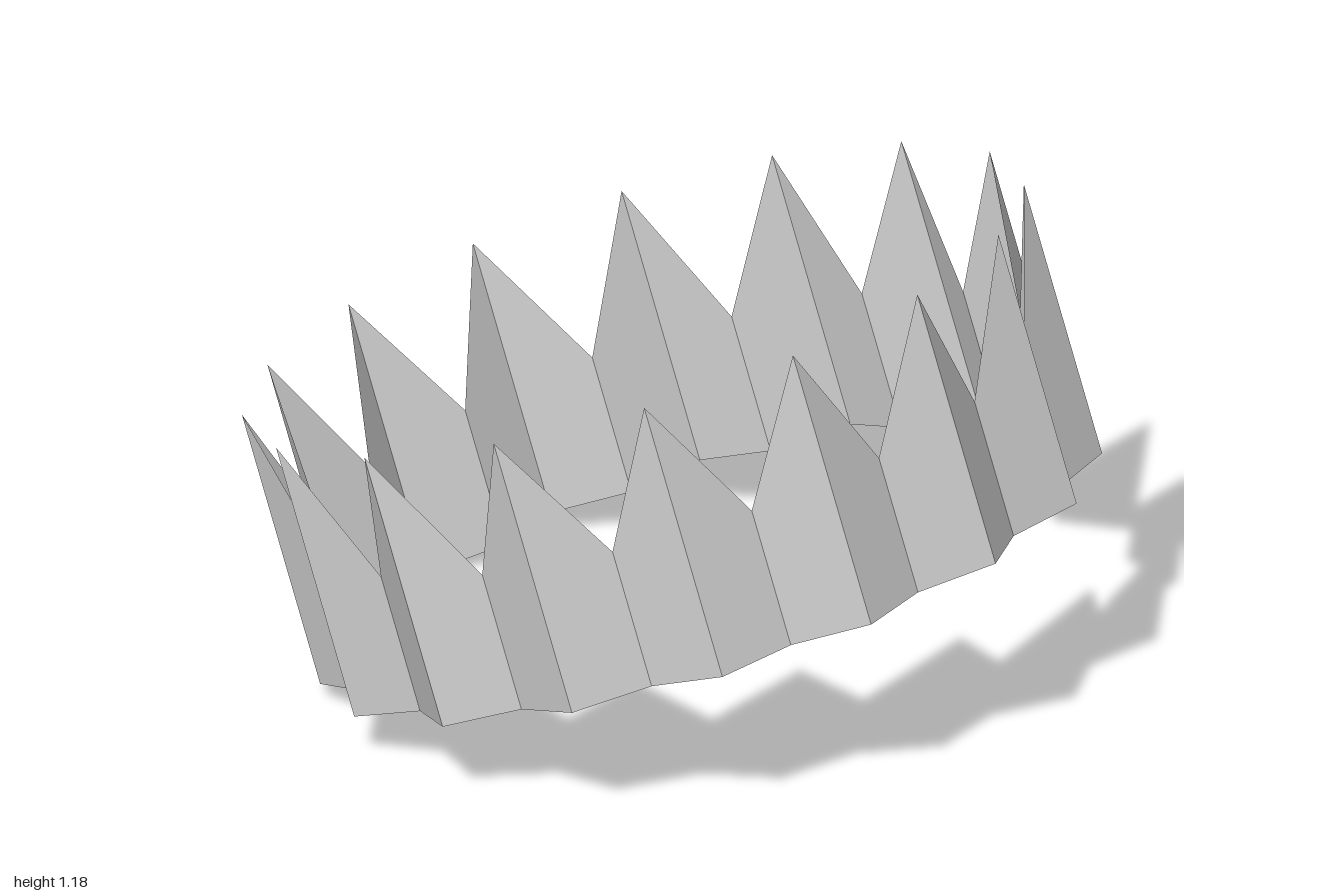
import * as THREE from 'three';

const POINTS = 16;          // spikes around the band
const RX = 0.954, RZ = 0.871; // oval radii at the outer folds
const INNER = 0.913;        // scale of the inner folds
const TALL = 0.675, SHORT = 0.337; // height at spikes and at valleys

export function createModel() {
  const model = new THREE.Group();
  model.name = 'crown';

  // Folded band: even folds lie outside and rise to spikes, odd ones lie inside
  const positions = [], index = [];
  const folds = POINTS * 2;
  for (let i = 0; i < folds; i++) {
    const spike = i % 2 === 0;
    const a = (i / folds) * Math.PI * 2;
    const s = spike ? 1 : INNER;
    const x = Math.sin(a) * RX * s, z = Math.cos(a) * RZ * s;
    positions.push(x, 0, z, x, spike ? TALL : SHORT, z);
    const b = i * 2, n = ((i + 1) % folds) * 2;
    index.push(b, n, n + 1, b, n + 1, b + 1);
  }
  const indexed = new THREE.BufferGeometry();
  indexed.setAttribute('position', new THREE.Float32BufferAttribute(positions, 3));
  indexed.setIndex(index);
  const geometry = indexed.toNonIndexed();
  geometry.computeVertexNormals();

  const band = new THREE.Mesh(geometry, new THREE.MeshStandardMaterial({
    color: 0xcccccc, flatShading: true, side: THREE.DoubleSide,
  }));
  band.name = 'spikedBand';

  // Tilt: front and left side raised
  const xAxis = new THREE.Vector3(0.985, 0.175, 0.003).normalize();
  const zAxis = new THREE.Vector3(-0.046, 0.2455, 0.968).normalize();
  const yAxis = new THREE.Vector3().crossVectors(zAxis, xAxis).normalize();
  zAxis.crossVectors(xAxis, yAxis);
  band.quaternion.setFromRotationMatrix(new THREE.Matrix4().makeBasis(xAxis, yAxis, zAxis));
  band.position.set(0.06, 0.28, 0.08);
  model.add(band);
  return model;
}
